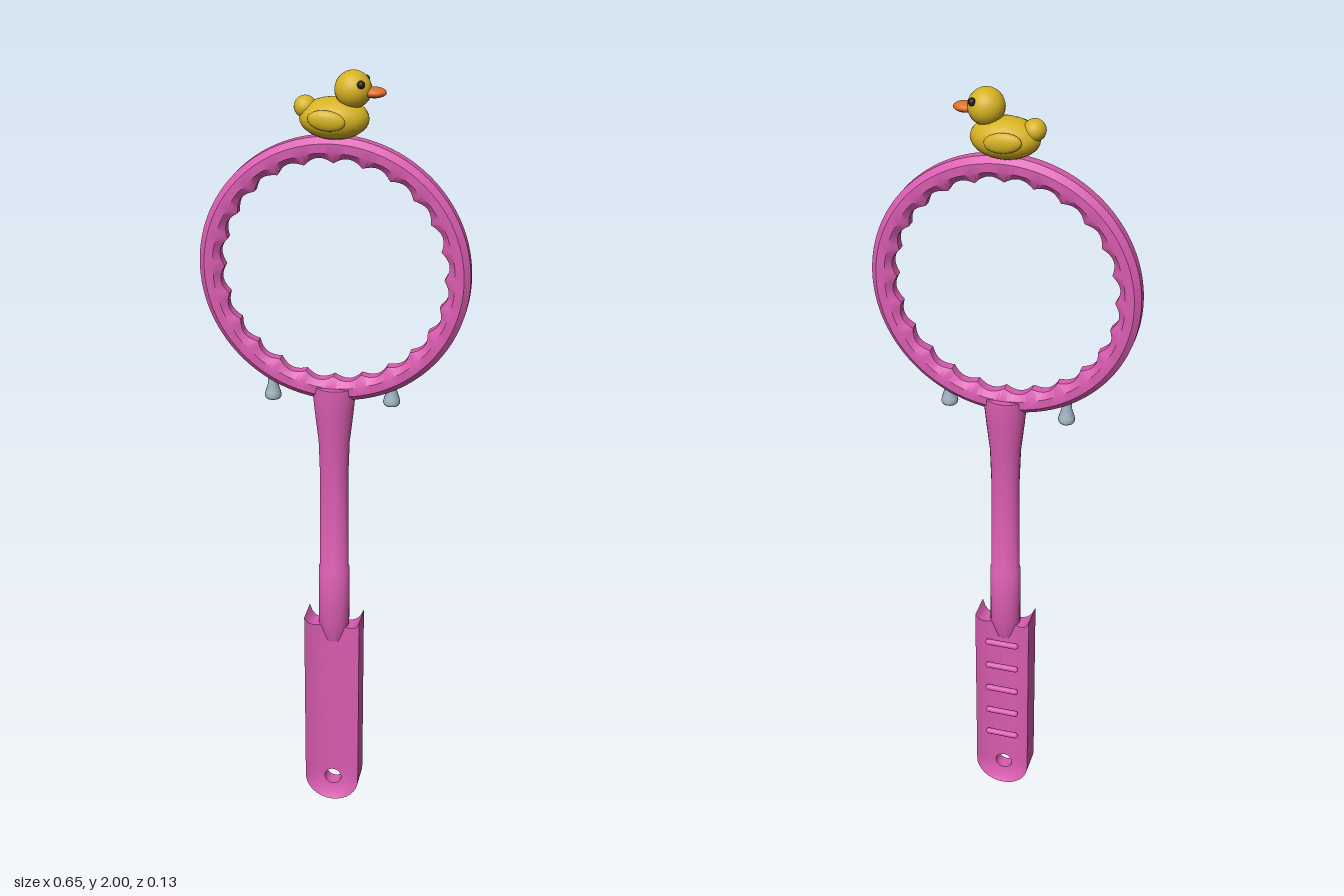
import * as THREE from 'three';
import { toCreasedNormals } from 'three/addons/utils/BufferGeometryUtils.js';

function material(name, color) {
  const m = new THREE.MeshStandardMaterial({ color });
  m.name = name;
  return m;
}

// Surface closed in both directions; point(i, j) returns [x, y, z]
function closedGrid(rows, cols, point) {
  const pos = [], index = [];
  for (let i = 0; i < rows; i++) {
    for (let j = 0; j < cols; j++) {
      pos.push(...point(i, j));
      const i2 = (i + 1) % rows, j2 = (j + 1) % cols;
      const a = i * cols + j, b = i2 * cols + j, c = i2 * cols + j2, d = i * cols + j2;
      index.push(a, b, c, a, c, d);
    }
  }
  const g = new THREE.BufferGeometry();
  g.setAttribute('position', new THREE.Float32BufferAttribute(pos, 3));
  g.setIndex(index);
  return toCreasedNormals(g, 0.6);
}

// Hoop with an octagonal section and a scalloped inner edge
function ringGeometry() {
  const steps = 192, cy = 1.53;
  // radius, depth, share of the scallop
  const profile = [
    [0.323, -0.012, 0], [0.323, 0.012, 0], [0.309, 0.025, 0], [0.286, 0.025, 0.2],
    [0.262, 0.012, 1], [0.262, -0.012, 1], [0.286, -0.025, 0.2], [0.309, -0.025, 0],
  ];
  return closedGrid(steps, profile.length, (i, j) => {
    const a = (i / steps) * Math.PI * 2;
    const [r0, z, k] = profile[j];
    const r = r0 + k * 0.013 * Math.abs(Math.sin(12 * a));
    return [r * Math.cos(a), cy + r * Math.sin(a), z];
  });
}

// Grip with hollowed front and back and a hanging hole
function gripGeometry() {
  const w = 0.073, holeY = 0.065, holeR = 0.023, top = 0.585, n = 16;
  const outline = [];
  for (let i = 0; i < n; i++) {
    const a = Math.PI * (1 + i / n);
    outline.push([w * Math.cos(a), w + w * Math.sin(a)]);
  }
  for (let i = 0; i < n; i++) outline.push([w, w + ((top - w) * i) / n]);
  for (let i = 0; i < n; i++) {
    const u = 1 - (2 * i) / n;
    outline.push([w * u, 0.558 + 0.027 * u ** 8]);
  }
  for (let i = 0; i < n; i++) outline.push([-w, top - ((top - w) * i) / n]);

  const half = 10;
  return closedGrid(outline.length, half * 2 + 2, (i, j) => {
    const front = j <= half;
    const t = front ? 1 - j / half : (j - half - 1) / half;
    const [px, py] = outline[i];
    const a = Math.atan2(py - holeY, px);
    const x = THREE.MathUtils.lerp(holeR * Math.cos(a), px, t);
    const y = THREE.MathUtils.lerp(holeY + holeR * Math.sin(a), py, t);
    const u = Math.min(1, (y < w ? Math.hypot(x, y - w) : Math.abs(x)) / w);
    const z = 0.016 + 0.019 * u ** 2.5;
    return [x, y, front ? z : -z];
  });
}

export function createModel() {
  const pink = material('pink plastic', 0xd95cb0);
  const yellow = material('duck yellow', 0xd6b222);
  const orange = material('beak orange', 0xdd6f25);
  const black = material('eye black', 0x1c1c1c);
  const steel = material('pin grey', 0xa3b6c4);

  const model = new THREE.Group();
  model.name = 'bubbleWand';
  function add(parent, name, geometry, mat, x = 0, y = 0, z = 0) {
    const mesh = new THREE.Mesh(geometry, mat);
    mesh.name = name;
    mesh.position.set(x, y, z);
    parent.add(mesh);
    return mesh;
  }

  add(model, 'ring', ringGeometry(), pink);
  add(model, 'grip', gripGeometry(), pink);

  // Stem: oval section, flared where it holds the ring
  const stemProfile = [
    [0, 0.51], [0.024, 0.51], [0.04, 0.56], [0.04, 0.73], [0.037, 0.735], [0.036, 1.0],
    [0.039, 1.09], [0.047, 1.16], [0.052, 1.21], [0.051, 1.24], [0, 1.24],
  ].map(([r, y]) => new THREE.Vector2(r, y));
  const stem = new THREE.LatheGeometry(stemProfile, 24);
  stem.scale(1, 1, 0.82);
  add(model, 'stem', toCreasedNormals(stem, 0.6), pink);

  // Finger ribs across the back of the grip
  for (let i = 0; i < 5; i++) {
    const rib = add(model, 'gripRib', new THREE.CapsuleGeometry(0.008, 0.075, 4, 10), pink,
      0, 0.185 + i * 0.079, -0.036);
    rib.rotation.z = Math.PI / 2;
  }

  // Flared pins below the ring
  const pinProfile = [[0, 0], [0.018, 0], [0.021, 0.006], [0.019, 0.016], [0.013, 0.035], [0.012, 0.06]]
    .map(([r, y]) => new THREE.Vector2(r, y));
  for (const [x, y] of [[-0.153, 1.195], [0.142, 1.202]]) {
    add(model, 'pin', new THREE.LatheGeometry(pinProfile, 16), steel, x, y, 0);
  }

  // Duck facing +x on top of the ring
  const duck = new THREE.Group();
  duck.name = 'duck';
  model.add(duck);
  function ball(name, mat, [x, y, z], [rx, ry, rz]) {
    const g = new THREE.SphereGeometry(1, 24, 16);
    g.scale(rx, ry, rz);
    return add(duck, name, g, mat, x, y, z);
  }
  ball('body', yellow, [0, 1.892, 0], [0.08, 0.047, 0.056]);
  ball('tail', yellow, [-0.066, 1.915, 0], [0.026, 0.025, 0.027]);
  ball('head', yellow, [0.043, 1.958, 0], [0.042, 0.042, 0.042]);
  ball('beak', orange, [0.09, 1.953, 0], [0.028, 0.012, 0.023]);
  for (const side of [-1, 1]) {
    const wing = ball('wing', yellow, [-0.008, 1.897, side * 0.051], [0.043, 0.023, 0.013]);
    wing.rotation.z = -0.1;
    ball('eye', black, [0.066, 1.975, side * 0.031], [0.009, 0.009, 0.009]);
  }
  return model;
}
